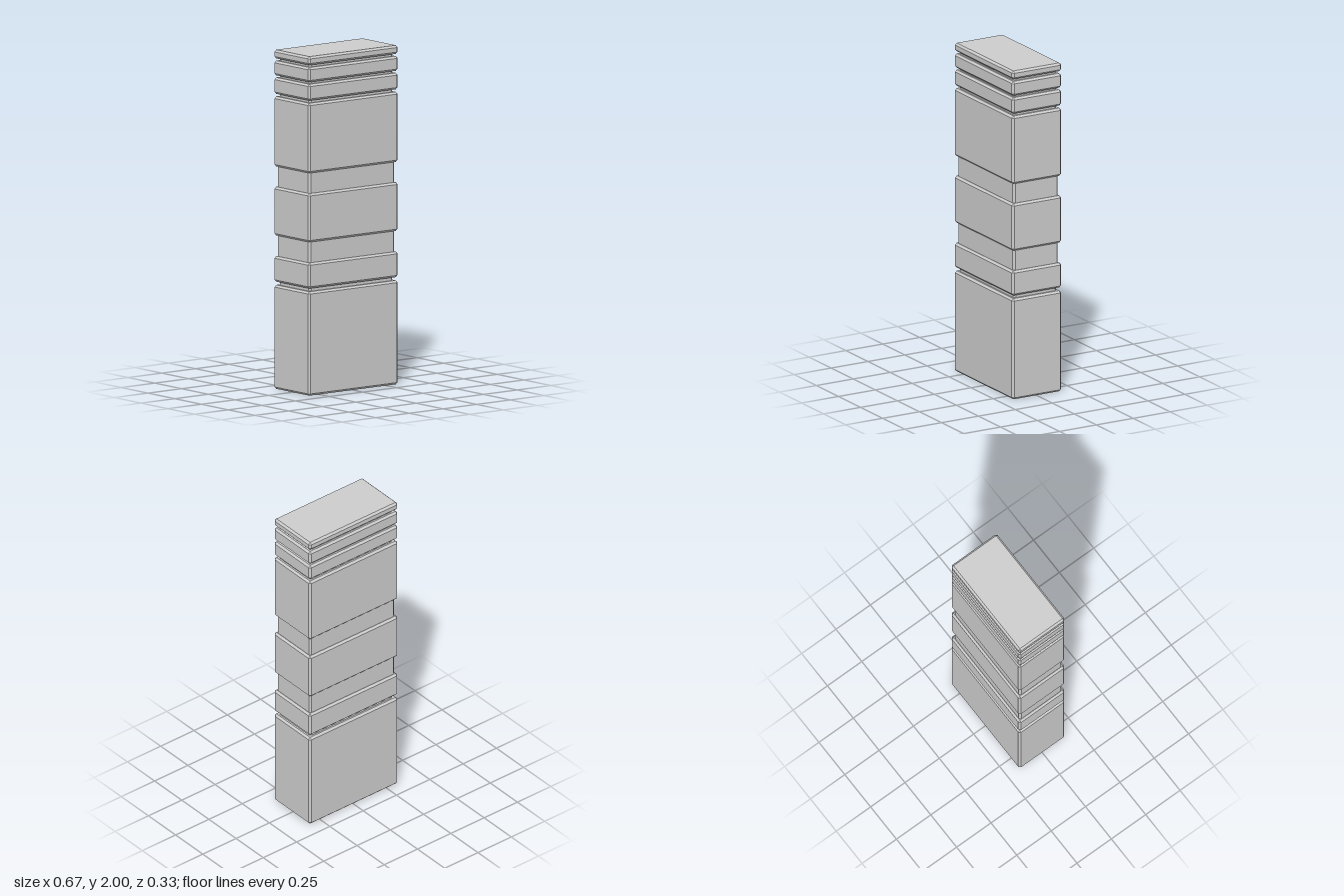
import * as THREE from 'three';
import { ConvexGeometry } from 'three/addons/geometries/ConvexGeometry.js';

const HALF_X = 0.333, HALF_Z = 0.167, BEVEL = 0.012;

// Box with every edge and corner cut at 45 degrees
function bevelledBox(hx, hy, hz, c) {
  const points = [];
  for (const x of [-1, 1]) for (const y of [-1, 1]) for (const z of [-1, 1]) {
    points.push(
      new THREE.Vector3(x * hx, y * (hy - c), z * (hz - c)),
      new THREE.Vector3(x * (hx - c), y * hy, z * (hz - c)),
      new THREE.Vector3(x * (hx - c), y * (hy - c), z * hz));
  }
  return new ConvexGeometry(points);
}

export function createModel() {
  const group = new THREE.Group();
  const material = new THREE.MeshStandardMaterial({ color: 0xcccccc, flatShading: true });

  // A slab from y0 to y1, drawn in from the full outline by inset
  function slab(name, y0, y1, inset = 0) {
    const geometry = bevelledBox(HALF_X - inset, (y1 - y0) / 2, HALF_Z - inset, BEVEL);
    const mesh = new THREE.Mesh(geometry, material);
    mesh.name = name;
    mesh.position.y = (y0 + y1) / 2;
    group.add(mesh);
  }

  // Full-width blocks, bottom to top
  slab('base', 0, 0.613);
  slab('lowerBlock', 0.632, 0.783);
  slab('middleBlock', 0.905, 1.192);
  slab('upperBlock', 1.312, 1.725);
  slab('lowerRing', 1.74, 1.837);
  slab('upperRing', 1.849, 1.936);
  slab('cap', 1.949, 2);

  // Wide shallow recesses, their ends hidden inside the blocks
  slab('lowerRecess', 0.75, 0.94, 0.014);
  slab('upperRecess', 1.16, 1.345, 0.014);

  // Narrow deeper grooves between the blocks
  slab('baseGroove', 0.59, 0.655, 0.022);
  slab('shoulderGroove', 1.70, 1.765, 0.022);
  slab('ringGroove', 1.81, 1.875, 0.022);
  slab('capGroove', 1.91, 1.975, 0.022);

  return group;
}
